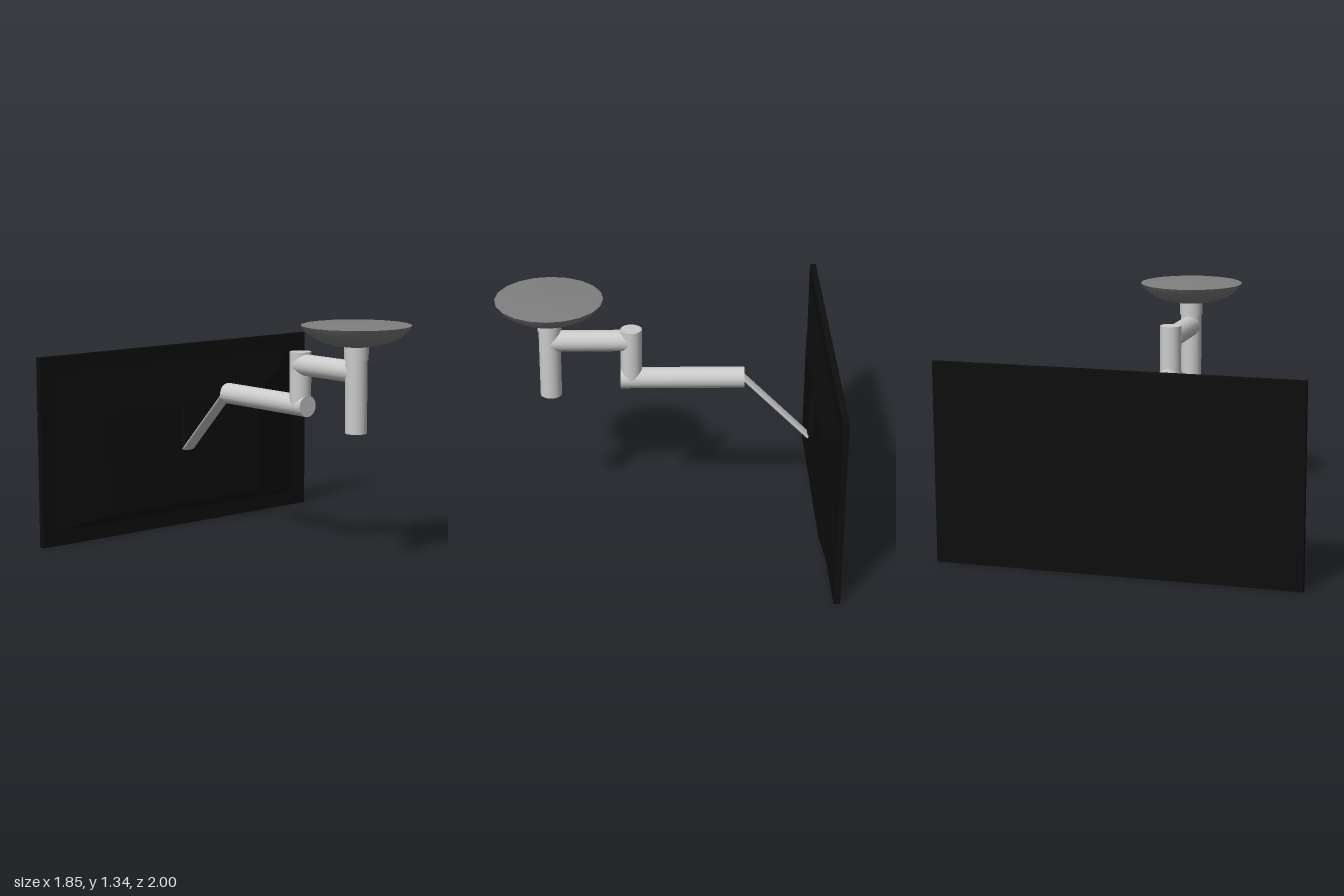
import * as THREE from 'three';

const grey = new THREE.MeshStandardMaterial({ color: 0xcccccc });
const dishGrey = new THREE.MeshStandardMaterial({ color: 0x808080 });
const black = new THREE.MeshStandardMaterial({ color: 0x0e0e0e });

function add(group, name, geometry, material) {
  const mesh = new THREE.Mesh(geometry, material);
  mesh.name = name;
  group.add(mesh);
  return mesh;
}

// Round bar between two points; flat squashes it across its thickness
function addBar(group, name, from, to, radius, flat = 1) {
  const a = new THREE.Vector3(...from), b = new THREE.Vector3(...to);
  const dir = b.clone().sub(a);
  const geometry = new THREE.CylinderGeometry(radius, radius, dir.length(), 20);
  geometry.scale(flat, 1, 1);
  const mesh = add(group, name, geometry, grey);
  mesh.position.copy(a).add(b).multiplyScalar(0.5);
  mesh.quaternion.setFromUnitVectors(new THREE.Vector3(0, 1, 0), dir.normalize());
  return mesh;
}

// Bulged rear cover: a box whose +x face is pulled in
function rearCover() {
  const geometry = new THREE.BoxGeometry(1, 1, 1);
  const p = geometry.attributes.position;
  for (let i = 0; i < p.count; i++) {
    const outer = p.getX(i) > 0, top = p.getY(i) > 0;
    const y = outer ? (top ? 0.74 : 0.145) : (top ? 1.02 : 0.08);
    p.setXYZ(i, outer ? -0.845 : -0.897, y, Math.sign(p.getZ(i)) * (outer ? 0.57 : 0.92));
  }
  geometry.computeVertexNormals();
  return geometry;
}

export function createModel() {
  const model = new THREE.Group();
  model.name = 'ceilingMountedScreen';

  // Screen
  const screen = new THREE.Group();
  screen.name = 'screen';
  model.add(screen);
  add(screen, 'panel', new THREE.BoxGeometry(0.035, 1.095, 2), black).position.set(-0.9105, 0.5475, 0);
  add(screen, 'rearCover', rearCover(), black);

  // Wedge bracket on the rear cover
  const wedge = new THREE.Shape([[-0.87, 0.48], [-0.815, 0.48], [-0.838, 0.79], [-0.852, 0.765]]
    .map(([x, y]) => new THREE.Vector2(x, y)));
  const bracket = new THREE.ExtrudeGeometry(wedge, { depth: 0.05, bevelEnabled: false });
  add(screen, 'bracket', bracket, black).position.z = -0.025;

  // Folding arm
  const arm = new THREE.Group();
  arm.name = 'arm';
  model.add(arm);
  addBar(arm, 'tiltStrut', [-0.817, 0.477, 0.004], [-0.435, 0.86, 0.004], 0.045, 0.28);
  addBar(arm, 'lowerArm', [-0.45, 0.85, -0.003], [0.24, 0.85, -0.003], 0.06);
  addBar(arm, 'elbow', [0.18, 0.85, -0.003], [0.18, 1.15, -0.003], 0.06);
  addBar(arm, 'upperArm', [0.18, 1.08, 0], [0.63, 1.08, 0], 0.06);
  addBar(arm, 'post', [0.63, 0.75, 0], [0.63, 1.2, 0], 0.06);
  addBar(arm, 'collar', [0.63, 1.147, 0], [0.63, 1.225, 0], 0.066);

  // Ceiling dish: rounded bowl below, almost flat lid above
  const bowl = [[0, 1.216], [0.07, 1.219], [0.13, 1.228], [0.19, 1.246], [0.24, 1.272],
    [0.277, 1.302], [0.298, 1.333]].map(([r, y]) => new THREE.Vector2(r, y));
  const lid = [[0.298, 1.333], [0.2, 1.339], [0, 1.343]].map(([r, y]) => new THREE.Vector2(r, y));
  const dish = new THREE.Group();
  dish.name = 'ceilingDish';
  dish.position.x = 0.628;
  model.add(dish);
  add(dish, 'bowl', new THREE.LatheGeometry(bowl, 20), dishGrey);
  add(dish, 'lid', new THREE.LatheGeometry(lid, 20), dishGrey);

  return model;
}
